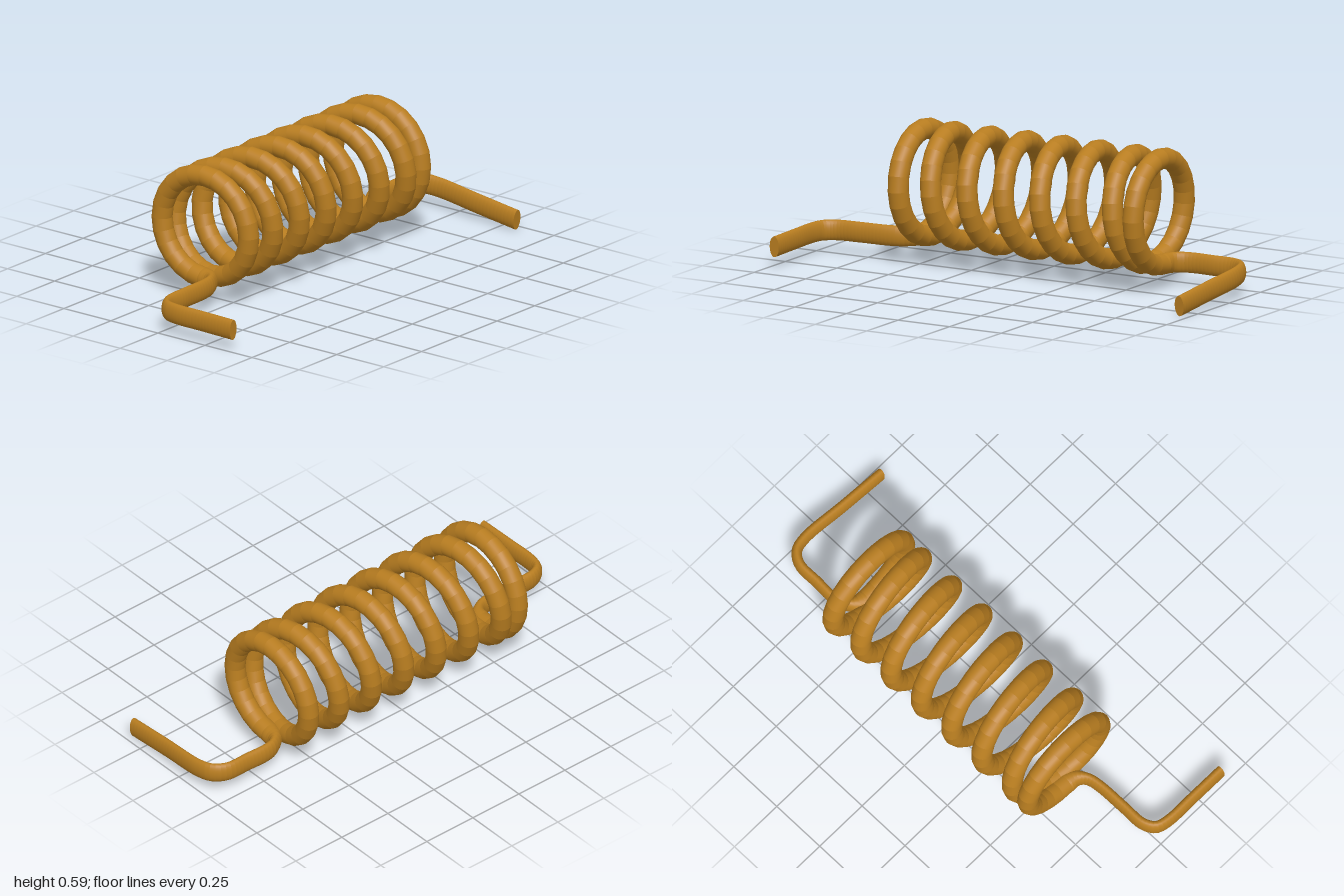
import * as THREE from 'three';

const R = 0.044;          // wire radius
const COIL_R = 0.223;     // coil centreline radius
const CY = 0.325, CZ = -0.112;
const TURNS = 8, STEPS = 24, SIDES = 24;
const V = (x, y, z) => new THREE.Vector3(x, y, z);

// Axial position: even pitch, with the first and last turns closing up
function coilX(t) {
  if (t < 1) return -0.556 + 0.046 * t ** 3;
  if (t > 7) return 0.602 - 0.054 * (8 - t) ** 3;
  return -0.51 + 0.1763 * (t - 1);
}

// Stations of the coil: centre, reference up (towards the axis), half width
function coilStations() {
  const out = [];
  for (let i = 0; i <= TURNS * STEPS; i++) {
    const a = (i / STEPS) * Math.PI * 2;
    const up = V(0, Math.cos(a), Math.sin(a));
    out.push({ p: V(coilX(i / STEPS), CY, CZ).addScaledVector(up, -COIL_R), up, w: R });
  }
  return out;
}

// Stations of a flattened lead, listed from its free tip to the coil
function leadStations(points) {
  const curve = new THREE.CatmullRomCurve3(points, false, 'centripetal');
  const n = 48, length = curve.getLength();
  return curve.getSpacedPoints(n).map((p, i) => {
    const toCoil = length * (1 - i / n);
    return { p, up: V(0, 1, 0), w: R * (1 - 0.5 * THREE.MathUtils.smoothstep(toCoil, 0, 0.1)) };
  });
}

// Elliptical ring around one station
function ring(stations, i) {
  const s = stations[i];
  const a = stations[Math.max(i - 1, 0)].p, b = stations[Math.min(i + 1, stations.length - 1)].p;
  const t = b.clone().sub(a).normalize();
  const side = t.clone().cross(s.up).normalize();
  const up = side.clone().cross(t);
  return Array.from({ length: SIDES }, (_, j) => {
    const f = (j / SIDES) * Math.PI * 2;
    return s.p.clone().addScaledVector(up, R * Math.cos(f)).addScaledVector(side, s.w * Math.sin(f));
  });
}

// Sweep between two stations; each segment has its own rings, so it is
// smooth around the wire and faceted along it
function sweep(stations, from, to, capStart, capEnd) {
  const pos = [], idx = [];
  const add = (points) => {
    const base = pos.length / 3;
    points.forEach((p) => pos.push(p.x, p.y, p.z));
    return base;
  };
  for (let i = from; i < to; i++) {
    const a = add(ring(stations, i)), b = add(ring(stations, i + 1));
    for (let j = 0; j < SIDES; j++) {
      const k = (j + 1) % SIDES;
      idx.push(a + j, a + k, b + k, a + j, b + k, b + j);
    }
  }
  const cap = (i, flip) => {
    const a = add(ring(stations, i)), c = add([stations[i].p]);
    for (let j = 0; j < SIDES; j++) {
      const k = (j + 1) % SIDES;
      if (flip) idx.push(c, a + k, a + j);
      else idx.push(c, a + j, a + k);
    }
  };
  if (capStart) cap(from, true);
  if (capEnd) cap(to, false);
  const g = new THREE.BufferGeometry();
  g.setAttribute('position', new THREE.Float32BufferAttribute(pos, 3));
  g.setIndex(idx);
  g.computeVertexNormals();
  return g;
}

export function createModel() {
  const group = new THREE.Group();
  group.name = 'coilSpring';
  const material = new THREE.MeshStandardMaterial({ color: 0xb87d20 });

  const rightLead = leadStations([
    V(-0.975, 0.091, 0.38), V(-0.975, 0.094, 0.22), V(-0.974, 0.096, 0.07), V(-0.958, 0.097, 0.015),
    V(-0.91, 0.098, -0.014), V(-0.8, 0.1, -0.018), V(-0.665, 0.101, -0.022),
    V(-0.61, 0.102, -0.034), V(-0.572, 0.102, -0.065), V(-0.556, 0.102, CZ),
  ]);
  const leftLead = leadStations([
    V(0.96, 0.046, 0.335), V(0.967, 0.07, 0.12), V(0.975, 0.094, -0.1), V(0.957, 0.101, -0.165),
    V(0.905, 0.102, -0.2), V(0.8, 0.102, -0.204), V(0.705, 0.102, -0.207),
    V(0.655, 0.102, -0.196), V(0.618, 0.102, -0.163), V(0.602, 0.102, CZ),
  ]).reverse();
  const coil = coilStations();

  // One continuous wire, cut into three named parts
  const wire = [...rightLead.slice(0, -1), ...coil, ...leftLead.slice(1)];
  const a = rightLead.length - 1, b = a + coil.length - 1, end = wire.length - 1;
  const part = (name, from, to) => {
    const mesh = new THREE.Mesh(sweep(wire, from, to, from === 0, to === end), material);
    mesh.name = name;
    group.add(mesh);
  };
  part('rightLead', 0, a);
  part('coil', a, b);
  part('leftLead', b, end);
  return group;
}
